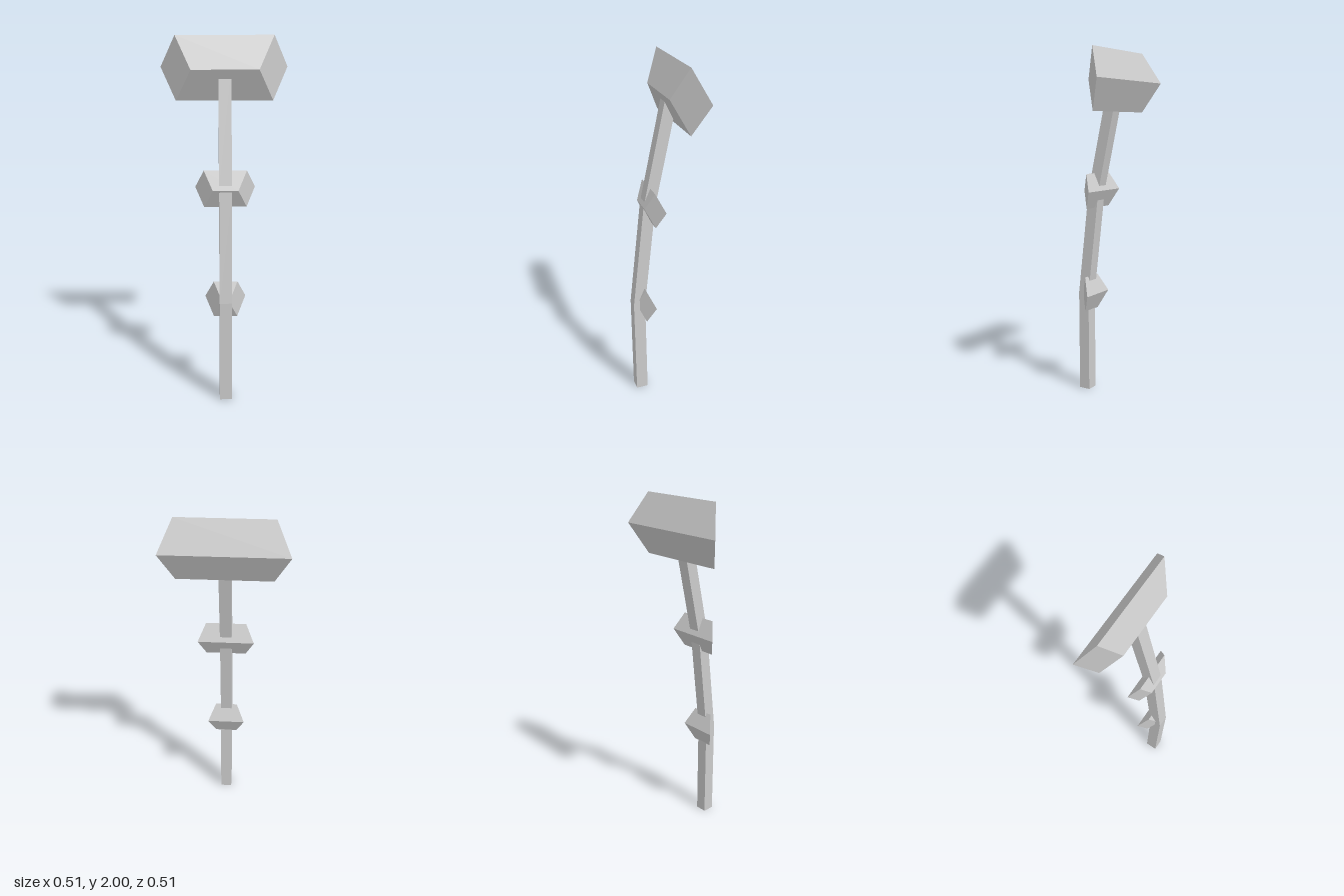
import * as THREE from 'three';

// Skins four-cornered cross-sections (counter-clockwise seen from the last one) and caps both ends
function loft(rings) {
  const pos = [];
  const quad = (a, b, c, d) => pos.push(...a, ...b, ...c, ...a, ...c, ...d);
  for (let r = 0; r < rings.length - 1; r++) {
    const p = rings[r], q = rings[r + 1];
    for (let i = 0; i < 4; i++) {
      const j = (i + 1) % 4;
      quad(p[i], p[j], q[j], q[i]);
    }
  }
  quad(...[...rings[0]].reverse());
  quad(...rings[rings.length - 1]);
  const geo = new THREE.BufferGeometry();
  geo.setAttribute('position', new THREE.Float32BufferAttribute(pos, 3));
  geo.computeVertexNormals();
  return geo;
}

// Diamond-section block across the x = z diagonal, its ends cut flat at z = edge and x = edge
function foliageBlock(s, depth, y, height) {
  const edge = 0.228;
  const section = [[s - depth, y], [s, y + height], [s + depth, y], [s, y - height]];
  return loft([
    section.map(([sum, h]) => [sum - edge, h, edge]),
    section.map(([sum, h]) => [edge, h, sum - edge]),
  ]);
}

export function createModel() {
  const group = new THREE.Group();
  const material = new THREE.MeshStandardMaterial({ color: 0xcccccc, flatShading: true });
  const add = (name, geometry) => {
    const mesh = new THREE.Mesh(geometry, material);
    mesh.name = name;
    group.add(mesh);
  };

  // Square trunk turned 45 degrees, bending back along the diagonal: [height, x = z centre]
  const r = 0.048;
  const bends = [[0, 0.205], [0.595, 0.205], [1.21, 0.152], [1.83, 0.053]];
  add('trunk', loft(bends.map(([y, c]) => [
    [c + r, y, c], [c, y, c - r], [c - r, y, c], [c, y, c + r],
  ])));

  // Foliage: centre x + z, half depth, height of centre, half height
  add('lowerFoliage', foliageBlock(0.364, 0.066, 0.594, 0.104));
  add('middleFoliage', foliageBlock(0.294, 0.066, 1.212, 0.1));
  add('crown', foliageBlock(0.088, 0.115, 1.83, 0.17));

  return group;
}
